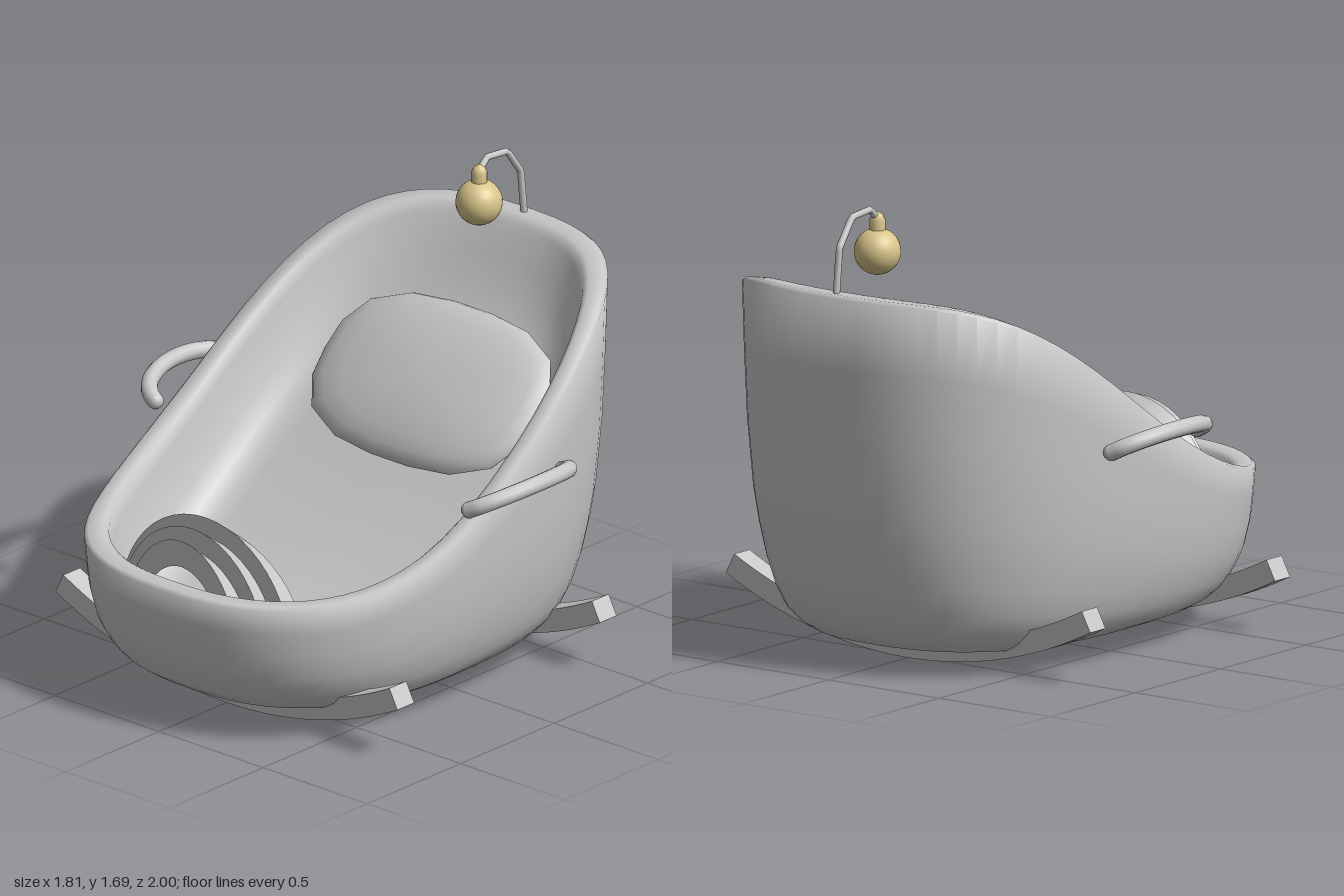
import * as THREE from 'three';
import { toCreasedNormals } from 'three/addons/utils/BufferGeometryUtils.js';

// Skin a list of equal-length point rows; closed rows wrap around
function loft(rows, closed, crease) {
  const n = rows[0].length, index = [];
  for (let j = 0; j < rows.length - 1; j++) {
    for (let i = 0; i < (closed ? n : n - 1); i++) {
      const k = (i + 1) % n;
      const a = j * n + i, b = j * n + k, c = b + n, d = a + n;
      index.push(a, d, b, b, d, c);
    }
  }
  const g = new THREE.BufferGeometry();
  g.setAttribute('position', new THREE.Float32BufferAttribute(rows.flat(2), 3));
  g.setIndex(index);
  return toCreasedNormals(g, crease);
}

// Rim height: low at the foot, rising in an S curve to the head
function rimHeight(z) {
  const t = Math.pow(THREE.MathUtils.clamp((1 - z) / 2, 0, 1), 1.33);
  return 0.56 + 0.85 * t * t * (3 - 2 * t);
}

// Mattress height: flat at the foot, leaning back towards the head
const bedHeight = (z) => 0.18 + 0.61 * Math.pow(Math.max(0, 0.6 - z), 1.5);

// One rounded-oval ring of the tub; height(z, rimZ) gives y at each point
function tubRing(scale, height) {
  const pow = (v) => Math.sign(v) * Math.pow(Math.abs(v), 2 / 2.5);
  return Array.from({ length: 64 }, (_, i) => {
    const a = (i / 64) * Math.PI * 2;
    const x = pow(Math.cos(a)), z = pow(Math.sin(a));
    return [0.76 * scale * x, height(scale * z, z), scale * z];
  });
}

function tubGeometry() {
  const base = 0.085;
  const wall = [[0, 0.74], [0.025, 0.79], [0.06, 0.832], [0.12, 0.872], [0.2, 0.905],
    [0.3, 0.934], [0.4, 0.956], [0.6, 0.98], [0.8, 0.992], [1, 1]];
  const rim = [[0.985, 0], [0.925, 0], [0.905, -0.012]];
  const inside = [0.985, 0.96, 0.92, 0.87, 0.8, 0.7, 0.55, 0.4, 0.2, 0];
  const rows = [tubRing(0, () => base)];
  wall.forEach(([u, s]) => rows.push(tubRing(s, (z, rimZ) => base + (rimHeight(rimZ) - 0.012 - base) * u)));
  rim.forEach(([s, dy]) => rows.push(tubRing(s, (z, rimZ) => rimHeight(rimZ * (s + 1) / 2) + dy)));
  // Steep inner wall easing into the mattress
  inside.forEach((q) => {
    const k = Math.pow(Math.max(0, (q - 0.75) / 0.25), 3);
    rows.push(tubRing(0.905 * q, (z, rimZ) => THREE.MathUtils.lerp(bedHeight(z), rimHeight(rimZ * 0.95) - 0.012, k)));
  });
  return loft(rows, true, 1);
}

// Three nested arches with a saw-tooth outside and a hollow inside
function foldsGeometry() {
  const profile = [ // z, half width, height
    [0.88, 0.2, 0.3], [0.88, 0.275, 0.4], [0.82, 0.29, 0.35],
    [0.82, 0.355, 0.43], [0.755, 0.35, 0.385],
    [0.75, 0.415, 0.452], [0.685, 0.43, 0.4],
    [0.685, 0.35, 0.34], [0.88, 0.2, 0.3]];
  return loft(profile.map(([z, rx, ry]) => Array.from({ length: 25 }, (_, i) => {
    const a = (i / 24) * Math.PI;
    return [rx * Math.cos(a), 0.3 + ry * Math.sin(a), z];
  })), false, 0.75);
}

// Flattened ball with a squarish outline
function pillowGeometry() {
  const g = new THREE.SphereGeometry(1, 18, 12);
  const p = g.attributes.position;
  for (let i = 0; i < p.count; i++) {
    const x = p.getX(i), z = p.getZ(i), r = Math.hypot(x, z);
    if (r < 1e-5) continue;
    const k = Math.pow(Math.pow(Math.abs(x / r), 2.8) + Math.pow(Math.abs(z / r), 2.8), -1 / 2.8);
    p.setX(i, x * k);
    p.setZ(i, z * k);
  }
  g.scale(0.51, 0.08, 0.32);
  return toCreasedNormals(g, 1);
}

// Curved bar cut from a large ring
function rockerGeometry() {
  const R = 1.78, half = 0.48, mid = -Math.PI / 2;
  const s = new THREE.Shape();
  s.absarc(0, R, R, mid - half, mid + half, false);
  s.absarc(0, R, R - 0.083, mid + half, mid - half, true);
  const g = new THREE.ExtrudeGeometry(s, { depth: 0.09, bevelEnabled: false, curveSegments: 20 });
  g.translate(0, 0, -0.045);
  return toCreasedNormals(g, 0.5);
}

export function createModel() {
  const model = new THREE.Group();
  model.name = 'cradle';
  const grey = new THREE.MeshStandardMaterial({ color: 0xc8c8c8 });
  grey.name = 'light grey';
  grey.side = THREE.DoubleSide;
  const gold = new THREE.MeshStandardMaterial({ color: 0xd8c58a });
  gold.name = 'pale gold';

  const add = (name, geometry, material, x = 0, y = 0, z = 0) => {
    const m = new THREE.Mesh(geometry, material);
    m.name = name;
    m.position.set(x, y, z);
    model.add(m);
    return m;
  };

  add('tub', tubGeometry(), grey);
  add('blanketFolds', foldsGeometry(), grey);
  add('pillow', pillowGeometry(), grey, 0, 0.895, -0.455).rotation.x = Math.PI / 4;

  // Rockers under the tub
  const rocker = rockerGeometry();
  add('frontRocker', rocker, grey, 0, 0, 0.595);
  add('backRocker', rocker, grey, 0, 0, -0.488);

  // Bowed side handles with rounded ends
  for (const side of [1, -1]) {
    const points = Array.from({ length: 13 }, (_, i) => {
      const a = (i / 12) * Math.PI, s = Math.sin(a);
      return new THREE.Vector3(side * (0.755 + 0.118 * s), 0.815 + 0.062 * s, -0.07 - 0.25 * Math.cos(a));
    });
    const name = side > 0 ? 'leftHandle' : 'rightHandle';
    add(name, new THREE.TubeGeometry(new THREE.CatmullRomCurve3(points), 24, 0.031, 10), grey);
    for (const p of [points[0], points[12]]) {
      add(name + 'End', new THREE.SphereGeometry(0.031, 10, 8), grey, p.x, p.y, p.z);
    }
  }

  // Bent rod over the head end, made of straight lengths
  const bend = [[1.38, -0.955], [1.57, -0.935], [1.67, -0.862], [1.68, -0.755], [1.64, -0.712]]
    .map(([y, z]) => new THREE.Vector3(0, y, z));
  const rod = new THREE.CurvePath();
  for (let i = 0; i < bend.length - 1; i++) rod.add(new THREE.LineCurve3(bend[i], bend[i + 1]));
  add('hangingRod', new THREE.TubeGeometry(rod, 24, 0.013, 8), grey);

  // Hanging ball and its rounded cap
  add('ball', new THREE.SphereGeometry(0.085, 24, 16), gold, 0, 1.52, -0.712);
  const cap = [[0.03, 0], [0.03, 0.045], [0.02, 0.065], [0, 0.077]].map(([r, y]) => new THREE.Vector2(r, y));
  add('ballCap', new THREE.LatheGeometry(cap, 10), gold, 0, 1.59, -0.712);
  return model;
}
